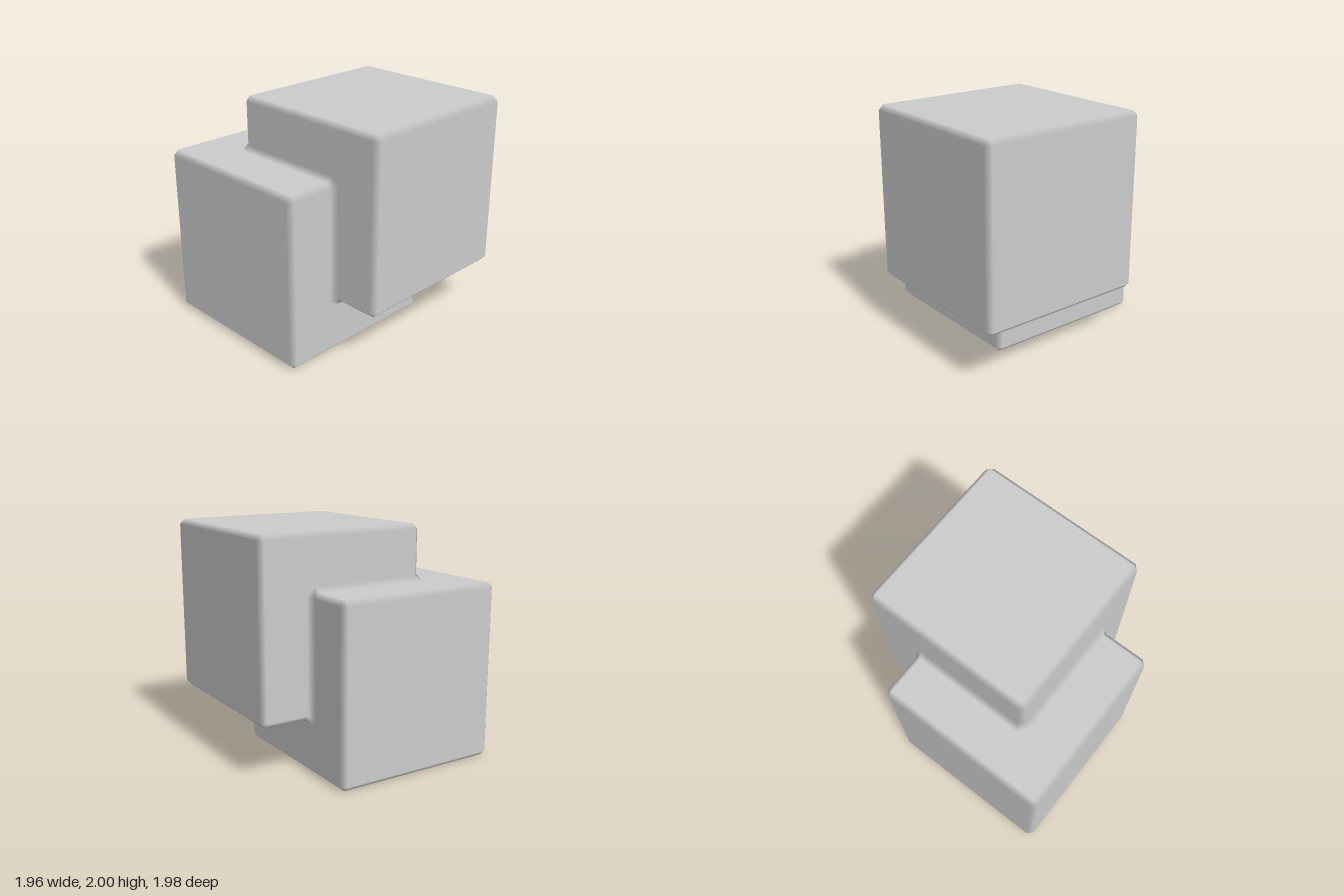
import * as THREE from 'three';

const BEVEL = 0.045;
const SIZE = [1.52, 1.525, 1.52];
const CENTRE_A = [-0.22, 0.7625, 0.23]; // lower front block
const CENTRE_B = [0.22, 1.2375, -0.23]; // upper back block
const material = new THREE.MeshStandardMaterial({ color: 0xcccccc });

// Indexed geometry with given normals; triangles turn to face along them
function facing(points, normals, triangles) {
  const p = points.map((v) => new THREE.Vector3(...v));
  const n = normals.map((v) => new THREE.Vector3(...v));
  const index = [];
  for (const [a, b, c] of triangles) {
    const turn = p[b].clone().sub(p[a]).cross(p[c].clone().sub(p[a]));
    const out = n[a].clone().add(n[b]).add(n[c]);
    index.push(...(turn.dot(out) >= 0 ? [a, b, c] : [a, c, b]));
  }
  const g = new THREE.BufferGeometry();
  g.setAttribute('position', new THREE.Float32BufferAttribute(points.flat(), 3));
  g.setAttribute('normal', new THREE.Float32BufferAttribute(normals.flat(), 3));
  g.setIndex(index);
  return g;
}

// Box with a single-step bevel, shaded smoothly from face to face
function bevelledBox(size, bevel) {
  const points = [], normals = [], triangles = [];
  const id = (axis, s) => axis * 8 + (s[0] > 0 ? 1 : 0) + (s[1] > 0 ? 2 : 0) + (s[2] > 0 ? 4 : 0);
  const corners = [];
  for (let i = 0; i < 8; i++) corners.push([i & 1 ? 1 : -1, i & 2 ? 1 : -1, i & 4 ? 1 : -1]);
  for (let axis = 0; axis < 3; axis++) {
    for (const s of corners) {
      points.push(s.map((v, k) => v * (size[k] / 2 - (k === axis ? 0 : bevel))));
      normals.push(s.map((v, k) => (k === axis ? v : 0)));
    }
  }
  const quad = (a, b, c, d) => triangles.push([a, b, c], [a, c, d]);
  const flip = (s, k) => s.map((v, i) => (i === k ? -v : v));
  for (let axis = 0; axis < 3; axis++) {
    const u = (axis + 1) % 3, w = (axis + 2) % 3;
    for (const s of corners) {
      // flat face
      if (s[u] > 0 && s[w] > 0) {
        quad(id(axis, s), id(axis, flip(s, u)), id(axis, flip(flip(s, u), w)), id(axis, flip(s, w)));
      }
      // bevel strip running along this axis
      if (s[axis] > 0) {
        const e = flip(s, axis);
        quad(id(u, s), id(u, e), id(w, e), id(w, s));
      }
      // corner facet
      if (axis === 0) triangles.push([id(0, s), id(1, s), id(2, s)]);
    }
  }
  return facing(points, normals, triangles);
}

// Bevelled inner seam: six strips, each between a face of A and a face of B
function seam(c) {
  const signA = [1, 1, -1], signB = [-1, -1, 1];
  const A = CENTRE_A.map((v, k) => v + (signA[k] * SIZE[k]) / 2);
  const B = CENTRE_B.map((v, k) => v + (signB[k] * SIZE[k]) / 2);
  const points = [], normals = [], triangles = [];
  const pairs = [[1, 2], [0, 2], [0, 1], [2, 1], [2, 0], [1, 0]];
  pairs.forEach(([a, b], i) => {
    const t = 3 - a - b;
    for (let end = 0; end < 2; end++) {
      const atA = (i + end) % 2 === 1;
      const onA = [0, 0, 0], onB = [0, 0, 0], nA = [0, 0, 0], nB = [0, 0, 0];
      onA[a] = A[a];
      onA[b] = B[b] + c * signB[b];
      onB[a] = A[a] + c * signA[a];
      onB[b] = B[b];
      // full bevel at the block's own edge, a shorter mitre on the other block
      onA[t] = atA ? A[t] - c * signA[t] : B[t] - 0.5 * c * signB[t];
      onB[t] = atA ? A[t] - 0.5 * c * signA[t] : B[t] - c * signB[t];
      nA[a] = signA[a];
      nB[b] = signB[b];
      points.push(onA, onB);
      normals.push(nA, nB);
    }
  });
  for (let i = 0; i < 12; i++) {
    const p = 2 * i, q = (2 * i + 2) % 24;
    triangles.push([p, q, q + 1], [p, q + 1, p + 1]);
  }
  return facing(points, normals, triangles);
}

export function createModel() {
  const group = new THREE.Group();
  const add = (name, geometry, position = [0, 0, 0]) => {
    const mesh = new THREE.Mesh(geometry, material);
    mesh.name = name;
    mesh.position.set(...position);
    group.add(mesh);
  };
  add('lowerFrontBlock', bevelledBox(SIZE, BEVEL), CENTRE_A);
  add('upperBackBlock', bevelledBox(SIZE, BEVEL), CENTRE_B);
  add('seamBevel', seam(BEVEL));
  return group;
}
